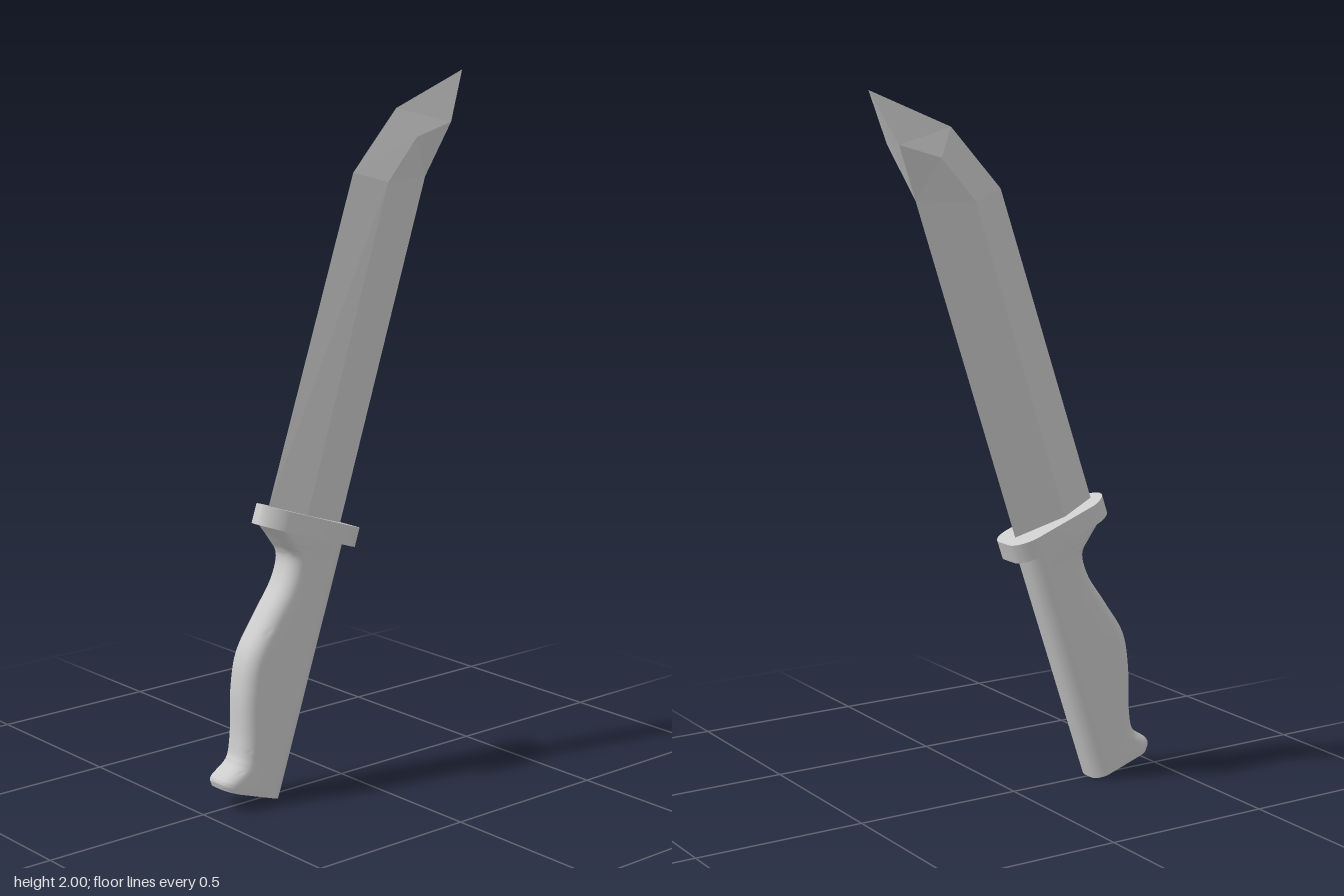
import * as THREE from 'three';
import { toCreasedNormals } from 'three/addons/utils/BufferGeometryUtils.js';

const STEEL = () => new THREE.MeshStandardMaterial({ name: 'grey steel', color: 0xcccccc });

// Diamond-section blade: front edge, raised ridge and back edge, mirrored in x
function bladeGeometry() {
  const w = 0.033;
  const p = {
    f0: [0, 0.82, 0.267], f1: [0, 1.73, -0.043], f2: [0, 1.9, -0.2], tip: [0, 2, -0.452],
    r0: [w, 0.78, 0.156], r1: [w, 1.7, -0.143], r2: [w, 1.82, -0.25], r3: [w, 1.857, -0.38],
    b0: [0, 0.73, 0.01], b1: [0, 1.705, -0.312],
  };
  const faces = [
    'f0 r0 r1', 'f0 r1 f1', 'f1 r1 r2', 'f1 r2 f2', 'f2 r2 r3', 'f2 r3 tip',
    'r0 b0 b1', 'r0 b1 r1', 'r1 b1 r2', 'r2 b1 r3', 'b1 tip r3',
  ].map((s) => s.split(' ').map((k) => p[k]));
  const pos = [];
  for (const [a, b, c] of faces) {
    pos.push(...a, ...b, ...c);
    for (const [x, y, z] of [a, c, b]) pos.push(-x, y, z);
  }
  const g = new THREE.BufferGeometry();
  g.setAttribute('position', new THREE.Float32BufferAttribute(pos, 3));
  g.computeVertexNormals();
  return g;
}

// Guard outline, rounded to a nose at the front, wider at the back
function guardGeometry() {
  const s = new THREE.Shape();
  s.moveTo(-0.03, 0.203);
  s.lineTo(0.03, 0.203);
  s.bezierCurveTo(0.055, 0.208, 0.075, 0.235, 0.075, 0.275);
  s.lineTo(0.06, 0.485);
  s.bezierCurveTo(0.05, 0.52, 0.025, 0.549, 0, 0.549);
  s.bezierCurveTo(-0.025, 0.549, -0.05, 0.52, -0.06, 0.485);
  s.lineTo(-0.075, 0.275);
  s.bezierCurveTo(-0.075, 0.235, -0.055, 0.208, -0.03, 0.203);
  const g = new THREE.ExtrudeGeometry(s, { depth: 0.056, bevelEnabled: false, curveSegments: 10 });
  g.rotateX(Math.PI / 2);
  g.translate(0, 0.706, 0);
  return toCreasedNormals(g, 0.6);
}

// Grip: rounded-rectangle sections lofted along a finger-shaped front profile
function gripGeometry() {
  const back = 0.244, half = 0.055, r = 0.042, arc = 6;
  const profile = new THREE.CatmullRomCurve3([
    [-0.084, 0.446], [-0.065, 0.458], [-0.005, 0.42], [0.056, 0.426], [0.19, 0.466], [0.292, 0.479],
    [0.407, 0.45], [0.516, 0.42], [0.584, 0.426], [0.618, 0.465], [0.655, 0.52],
  ].map(([y, z]) => new THREE.Vector3(0, y, z)), false, 'centripetal').getPoints(60);
  const pos = [], idx = [], n = 4 * (arc + 1);
  for (const { y, z: front } of profile) {
    const corners = [[1, 1], [-1, 1], [-1, -1], [1, -1]];
    corners.forEach(([sx, sz], c) => {
      for (let i = 0; i <= arc; i++) {
        const a = (c + i / arc) * Math.PI / 2;
        const cz = sz > 0 ? front - r : back + r;
        pos.push(sx * (half - r) + r * Math.cos(a), y, cz + r * Math.sin(a));
      }
    });
  }
  for (let j = 0; j < profile.length - 1; j++) {
    for (let i = 0; i < n; i++) {
      const a = j * n + i, b = j * n + (i + 1) % n;
      idx.push(a, a + n, b, b, a + n, b + n);
    }
  }
  // Flat butt cap
  for (let i = 1; i < n - 1; i++) idx.push(0, i, i + 1);
  const g = new THREE.BufferGeometry();
  g.setAttribute('position', new THREE.Float32BufferAttribute(pos, 3));
  g.setIndex(idx);
  return toCreasedNormals(g, 0.7);
}

export function createModel() {
  const steel = STEEL();
  const model = new THREE.Group();
  model.name = 'knife';
  const add = (parent, name, geometry) => {
    const m = new THREE.Mesh(geometry, steel);
    m.name = name;
    parent.add(m);
  };
  add(model, 'blade', bladeGeometry());

  // Handle is built upright, then leaned back to the blade's angle
  const handle = new THREE.Group();
  handle.name = 'handle';
  handle.rotation.x = -0.326;
  add(handle, 'guard', guardGeometry());
  add(handle, 'grip', gripGeometry());
  model.add(handle);
  return model;
}
